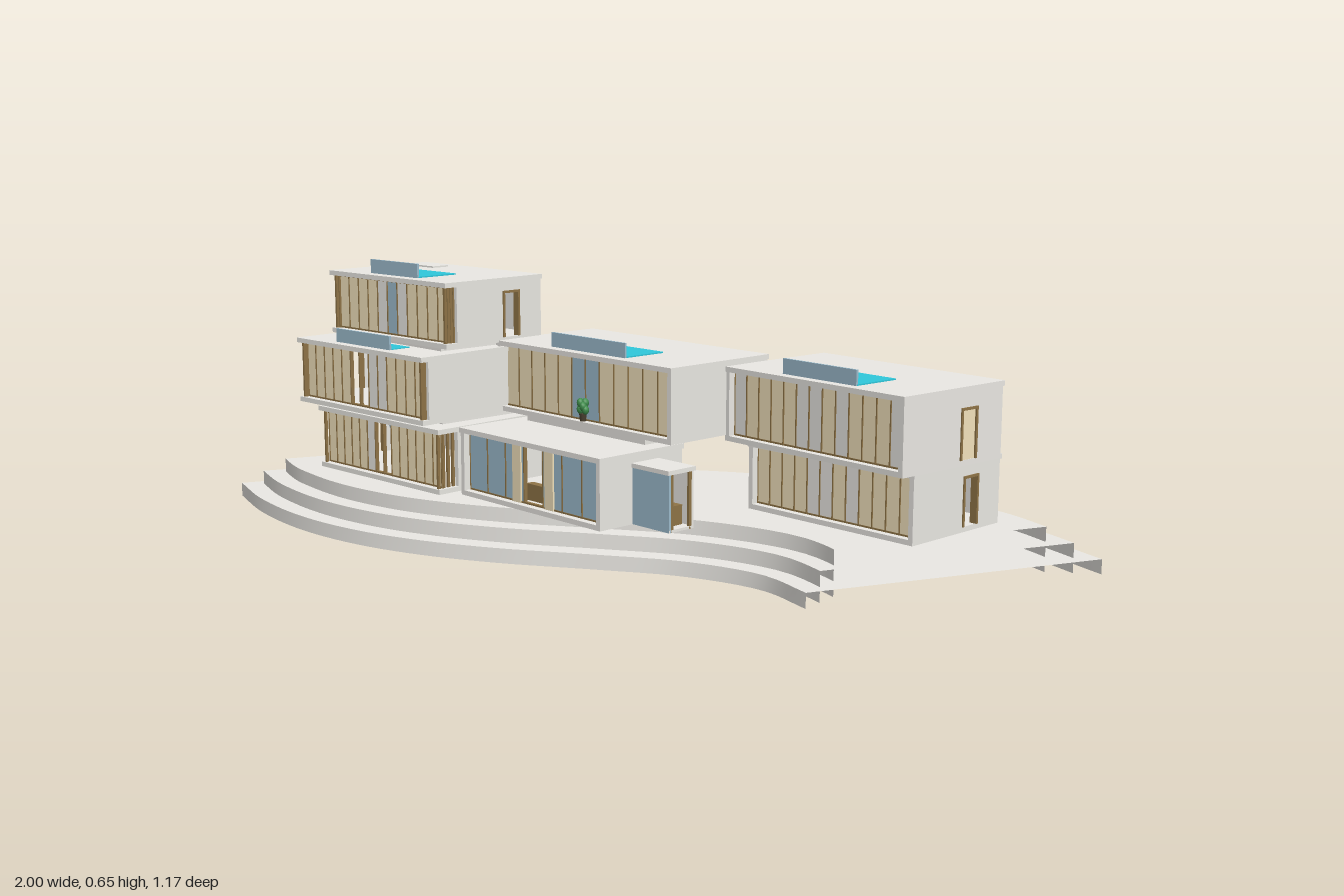
import * as THREE from 'three';

const mat = (color, side = THREE.FrontSide) => new THREE.MeshStandardMaterial({ color, side });
const M = {
  wall: mat(0xebe9e4), shell: mat(0xebe9e4, THREE.DoubleSide), curtain: mat(0xf3e3bd), wood: mat(0x8f7447),
  glass: mat(0x9dbccd), water: mat(0x2fc8dc), leaf: mat(0x3f8f4c), pot: mat(0x4a4030),
};

// Box given by its centre x/z, its bottom and its size
function box(parent, name, w, h, d, x, y0, z, material = M.wall) {
  const m = new THREE.Mesh(new THREE.BoxGeometry(w, h, d), material);
  m.name = name;
  m.position.set(x, y0 + h / 2, z);
  parent.add(m);
}

// Quad strip between two rows of points
function strip(parent, name, a, b) {
  const pos = [], idx = [];
  a.forEach((p, i) => pos.push(...p, ...b[i]));
  for (let i = 0; i < a.length - 1; i++) {
    const k = 2 * i;
    idx.push(k, k + 1, k + 2, k + 2, k + 1, k + 3);
  }
  const g = new THREE.BufferGeometry();
  g.setAttribute('position', new THREE.Float32BufferAttribute(pos, 3));
  g.setIndex(idx);
  g.computeVertexNormals();
  const m = new THREE.Mesh(g, M.shell);
  m.name = name;
  parent.add(m);
}

// S-shaped stepped terrace: three nested shells, open at both ends
function terrace() {
  const g = new THREE.Group();
  g.name = 'terrace';
  const curve = new THREE.CatmullRomCurve3([
    [-1, 0.5], [-0.8, 0.56], [-0.57, 0.587], [-0.36, 0.568], [-0.18, 0.515], [0, 0.428],
    [0.2, 0.3], [0.38, 0.195], [0.57, 0.15], [0.725, 0.185],
  ].map(([x, z]) => new THREE.Vector3(x, 0, z)));
  const N = 48;
  const edge = (d, s) => Array.from({ length: N + 1 }, (_, i) => {
    const u = i / N, p = curve.getPointAt(u), t = curve.getTangentAt(u);
    const along = d * (0.7 - 1.1 * u);
    return [s * (p.x + t.z * d + t.x * along), s * (p.z - t.x * d + t.z * along)];
  });
  const at = (row, y) => row.map(([x, z]) => [x, y, z]);
  for (let k = 0; k < 3; k++) {
    const y = 0.035 * (k + 1), front = edge(0.051 * k, 1), back = edge(0.051 * k, -1);
    strip(g, 'frontRiser', at(front, y), at(front, 0));
    strip(g, 'backRiser', at(back, y), at(back, 0));
    strip(g, 'deck', at(back.reverse(), y), at(front, y));
  }
  return g;
}

// Side wall with an optional framed doorway, door = [z, width, height, closed]
function sideWall(g, x, t, h, z0, z1, door) {
  const part = (a, b, y, ph) => box(g, 'sideWall', t, ph, b - a, x, y, (a + b) / 2);
  if (!door) return part(z0, z1, t, h);
  const [z, w, dh, closed] = door, a = z - w / 2, b = z + w / 2;
  part(z0, a, t, h);
  part(b, z1, t, h);
  part(a, b, t + dh, h - dh);
  for (const e of [a + 0.003, b - 0.003]) box(g, 'doorFrame', t + 0.006, dh, 0.006, x, t, e, M.wood);
  box(g, 'doorFrame', t + 0.006, 0.006, w, x, t + dh - 0.006, z, M.wood);
  if (closed) box(g, 'door', t - 0.002, dh, w, x, t, z, M.curtain);
}

// One storey: slabs, walls and a recessed facade.
// Panels: c curtain, w wall, g glass, o opening
function storey(parent, name, x, z, rot, y0, y1, w, d, panels, { corner = 0, back = true, left, right } = {}) {
  const g = new THREE.Group();
  g.name = name;
  g.position.set(x, y0, z);
  g.rotation.y = rot;
  parent.add(g);
  const H = y1 - y0, t = 0.012, h = H - 2 * t;
  box(g, 'floorSlab', w, t, d, 0, 0, 0);
  box(g, 'roofSlab', w + 0.006, t, d + 0.006, 0, H - t, 0);
  for (const s of [-1, 1]) {
    sideWall(g, s * (w - t) / 2, t, h, -d / 2, d / 2 - corner, s > 0 ? left : right);
    for (let k = 0; k < 4 && corner; k++) {
      box(g, 'cornerSlat', 0.006, h, 0.007, s * (w / 2 - 0.012), t, d / 2 - 0.008 - k * corner / 4, M.wood);
    }
  }
  if (back) box(g, 'backWall', w, h, t, 0, t, -(d - t) / 2);
  const n = panels.length, fw = w - 2 * t, pw = fw / n, fz = d / 2 - 0.022;
  [...panels].forEach((p, i) => {
    const m = { c: M.curtain, w: M.wall, g: M.glass }[p];
    if (m) box(g, 'facadePanel', pw, h, 0.006, -fw / 2 + pw * (i + 0.5), t, fz, m);
  });
  for (let i = 0; i <= n; i++) {
    box(g, 'mullion', 0.003, h, 0.01, -fw / 2 + pw * i, t, fz, M.wood);
  }
  for (const y of [t, H - t - 0.004]) box(g, 'facadeRail', fw, 0.004, 0.009, 0, y, fz, M.wood);
  return g;
}

// Roof pool with a glass screen along its front
function pool(parent, x, z, rot, y, w, d) {
  const g = new THREE.Group();
  g.name = 'pool';
  g.position.set(x, y, z);
  g.rotation.y = rot;
  box(g, 'water', w, 0.004, d, 0, 0, 0, M.water);
  box(g, 'glassScreen', w, 0.036, 0.006, 0, 0, d / 2, M.glass);
  parent.add(g);
}

// Small potted shrub
function plant(parent, x, y, z) {
  const g = new THREE.Group();
  g.name = 'plant';
  g.position.set(x, y, z);
  const pot = new THREE.Mesh(new THREE.CylinderGeometry(0.009, 0.007, 0.018, 10), M.pot);
  pot.name = 'pot';
  pot.position.y = 0.009;
  g.add(pot);
  for (let i = 0; i < 6; i++) {
    const leaf = new THREE.Mesh(new THREE.SphereGeometry(0.009, 8, 6), M.leaf);
    leaf.name = 'leaf';
    leaf.scale.y = 1.3;
    leaf.position.set(0.009 * Math.cos(i * 1.05), 0.028 + 0.008 * (i % 3), 0.004 * Math.sin(i * 1.05));
    g.add(leaf);
  }
  parent.add(g);
}

// Straight stair centred on its own origin, climbing toward its -z, with glass rails
function stair(parent, x, y, z, rot, run, rise, w, n) {
  const g = new THREE.Group();
  g.name = 'stair';
  g.position.set(x, y, z);
  g.rotation.y = rot;
  for (let i = 0; i < n; i++) {
    box(g, 'step', w, 0.008, run / n + 0.003, 0, rise * (i + 1) / n - 0.008, run / 2 - run * (i + 0.5) / n);
  }
  const s = new THREE.Shape([[-run / 2, 0], [run / 2, rise], [run / 2, rise + 0.045], [-run / 2, 0.045]]
    .map(([a, b]) => new THREE.Vector2(a, b)));
  for (const k of [-1, 1]) {
    const rail = new THREE.Mesh(new THREE.ExtrudeGeometry(s, { depth: 0.004, bevelEnabled: false }), M.glass);
    rail.name = 'stairRail';
    rail.rotation.y = Math.PI / 2;
    rail.position.x = k * (w / 2 + 0.002) - 0.002;
    g.add(rail);
  }
  parent.add(g);
}

export function createModel() {
  const root = new THREE.Group();
  root.name = 'house';
  root.add(terrace());

  // Right-hand stack (on -x) of three storeys
  storey(root, 'westGround', -0.525, 0.22, 0.045, 0.105, 0.265, 0.48, 0.345, 'cccccwoocccccc',
    { corner: 0.06, right: [0, 0.055, 0.115] });
  const a2 = storey(root, 'westMiddle', -0.537, 0.252, 0.045, 0.28, 0.445, 0.5, 0.37, 'cccccoowwcccc',
    { corner: 0.02, back: false, right: [0.02, 0.06, 0.115] });
  box(a2, 'cornerPier', 0.08, 0.165, 0.014, -0.21, 0, -0.178);
  box(a2, 'loggiaWall', 0.476, 0.141, 0.01, 0, 0.012, -0.05);
  for (const s of [-1, 1]) box(a2, 'loggiaBlind', 0.12, 0.125, 0.006, s * 0.11, 0.014, -0.057, M.curtain);
  box(a2, 'loggiaScreen', 0.4, 0.04, 0.005, 0.036, 0.012, -0.178, M.glass);
  const a3 = storey(root, 'westTop', -0.525, 0.2, 0.05, 0.455, 0.615, 0.455, 0.31, 'ccccwgwcccc',
    { corner: 0.035, left: [-0.055, 0.055, 0.115], right: [-0.055, 0.055, 0.115] });
  box(a3, 'roofHatch', 0.07, 0.006, 0.05, -0.12, 0.158, -0.09);
  for (const y of [0.265, 0.443]) box(root, 'plinth', 0.4, 0.016, 0.24, -0.53, y, 0.21);
  for (const y of [0.117, 0.292]) stair(root, -0.545, y, 0.27, Math.PI / 2, 0.15, 0.12, 0.05, 8);

  // Left-hand stack (on +x) of two storeys
  storey(root, 'eastGround', 0.565, -0.22, 0, 0.105, 0.265, 0.48, 0.31, 'ccccwwcwcccc',
    { left: [-0.048, 0.055, 0.115], right: [-0.048, 0.055, 0.115] });
  storey(root, 'eastUpper', 0.58, -0.155, -0.047, 0.272, 0.445, 0.535, 0.325, 'wccccwwcwcccw',
    { left: [-0.05, 0.055, 0.115, true] });
  box(root, 'plinth', 0.4, 0.01, 0.2, 0.57, 0.264, -0.2);

  // Central bridge above the entrance hall
  const c = storey(root, 'bridge', 0, 0.015, 0, 0.285, 0.46, 0.615, 0.315, 'cccccggccccc');
  box(c, 'backDoorFrame', 0.11, 0.125, 0.004, 0, 0.012, -0.157, M.wood);
  box(c, 'backDoor', 0.1, 0.118, 0.006, 0, 0.014, -0.157, M.glass);
  plant(c, 0, 0.012, 0.148);
  for (const s of [-1, 1]) plant(c, s * 0.09, 0.012, -0.16);
  box(root, 'plinth', 0.42, 0.017, 0.07, 0, 0.269, 0.125);

  // Entrance hall, open through the middle to the stair behind
  const h = storey(root, 'entranceHall', 0.003, 0.21, 0, 0.105, 0.27, 0.5, 0.255, 'gggoggg', { back: false });
  box(h, 'entranceDesk', 0.12, 0.04, 0.02, 0, 0.012, 0.07, M.wood);
  for (const s of [-1, 1]) {
    box(h, 'doorPost', 0.03, 0.141, 0.014, s * 0.058, 0.012, 0.106, M.curtain);
    box(h, 'backWall', 0.17, 0.141, 0.012, s * 0.165, 0.012, -0.121);
  }
  stair(root, 0, 0.115, -0.015, 0, 0.19, 0.16, 0.12, 12);

  // Glazed side porch
  const p = new THREE.Group();
  p.name = 'porch';
  p.position.set(0.31, 0.105, 0.2);
  root.add(p);
  box(p, 'porchFloor', 0.12, 0.006, 0.075, 0, 0, 0);
  box(p, 'porchRoof', 0.125, 0.01, 0.085, 0, 0.131, 0);
  box(p, 'porchBack', 0.12, 0.131, 0.006, 0, 0, -0.035);
  box(p, 'porchGlass', 0.12, 0.131, 0.006, 0, 0, 0.035, M.glass);
  for (const z of [-0.028, 0.028]) box(p, 'porchPost', 0.006, 0.131, 0.008, 0.057, 0, z, M.wood);
  box(p, 'porchBench', 0.03, 0.045, 0.035, 0.02, 0.006, -0.01, M.wood);

  // Pools
  pool(root, -0.525, 0.265, 0.05, 0.614, 0.185, 0.12);
  pool(root, -0.54, 0.382, 0.045, 0.443, 0.215, 0.06);
  pool(root, 0, 0.085, 0, 0.459, 0.26, 0.12);
  pool(root, 0.58, -0.08, -0.047, 0.444, 0.22, 0.125);
  return root;
}
